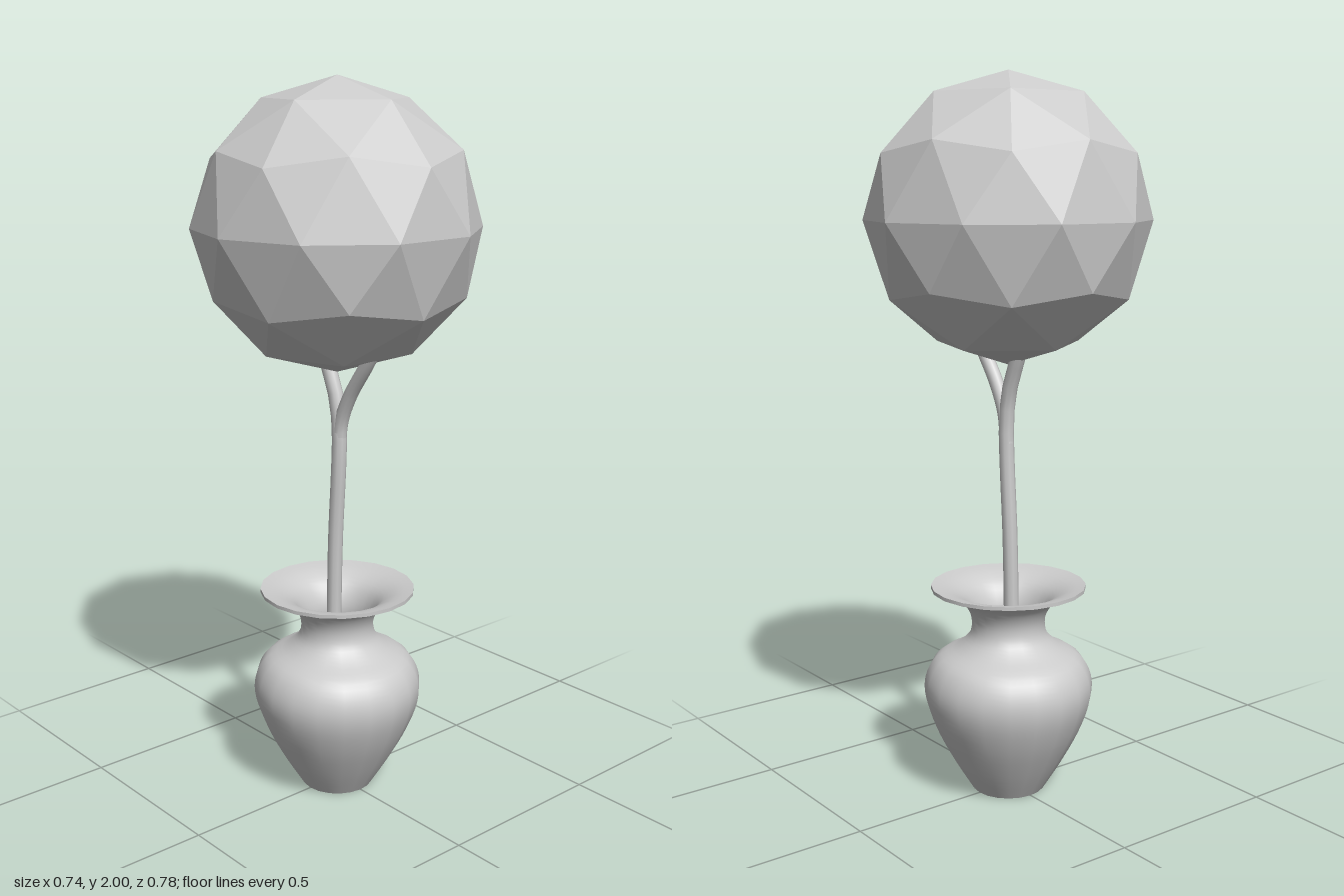
import * as THREE from 'three';

const grey = (extra = {}) => new THREE.MeshStandardMaterial({ color: 0xcccccc, ...extra });

function addMesh(parent, name, geometry, material) {
  const mesh = new THREE.Mesh(geometry, material);
  mesh.name = name;
  parent.add(mesh);
  return mesh;
}

// Round branch swept along points in the x-y plane
function branch(points, radius) {
  const path = new THREE.CatmullRomCurve3(points.map(([x, y]) => new THREE.Vector3(x, y, 0)));
  return new THREE.TubeGeometry(path, 20, radius, 10);
}

// Smooth lathe through profile points [radius, height]
function turned(points, steps) {
  const curve = new THREE.SplineCurve(points.map(([r, y]) => new THREE.Vector2(r, y)));
  return new THREE.LatheGeometry(curve.getPoints(steps), 20);
}

export function createModel() {
  const group = new THREE.Group();

  // Faceted crown, turned so one corner points straight up
  const radius = 0.39;
  const crown = new THREE.IcosahedronGeometry(radius, 1);
  crown.rotateZ(-Math.atan2(1, (1 + Math.sqrt(5)) / 2));
  addMesh(group, 'crown', crown, grey({ flatShading: true })).position.y = 2 - radius;

  // Trunk with a fork under the crown
  const trunk = new THREE.Group();
  trunk.name = 'trunk';
  group.add(trunk);
  addMesh(trunk, 'stem', branch([
    [-0.02, 0.05], [-0.014, 0.5], [-0.007, 0.75], [0.006, 0.95],
    [0.009, 1.05], [-0.002, 1.14], [-0.045, 1.25], [-0.08, 1.34],
  ], 0.021), grey());
  addMesh(trunk, 'sideBranch', branch([
    [0.007, 1.0], [0.016, 1.08], [0.052, 1.16], [0.125, 1.265], [0.17, 1.34],
  ], 0.02), grey());

  // Vase: outer wall, flared lip, inner wall and base
  const vase = new THREE.Group();
  vase.name = 'vase';
  group.add(vase);
  const smooth = grey({ side: THREE.DoubleSide });
  addMesh(vase, 'outerWall', turned([
    [0.103, 0], [0.155, 0.085], [0.205, 0.18], [0.235, 0.265], [0.235, 0.33],
    [0.205, 0.385], [0.145, 0.42], [0.11, 0.455], [0.104, 0.5],
    [0.125, 0.545], [0.165, 0.575], [0.218, 0.588],
  ], 44), smooth);
  addMesh(vase, 'rimEdge', new THREE.CylinderGeometry(0.218, 0.218, 0.01, 20, 1, true), smooth)
    .position.y = 0.593;
  addMesh(vase, 'innerWall', turned([
    [0.218, 0.598], [0.165, 0.585], [0.12, 0.555], [0.095, 0.5], [0.1, 0.45],
    [0.14, 0.41], [0.195, 0.375], [0.225, 0.33], [0.225, 0.265],
    [0.195, 0.18], [0.145, 0.085], [0.095, 0.015], [0, 0.015],
  ], 44), smooth);
  addMesh(vase, 'base', new THREE.CircleGeometry(0.103, 20).rotateX(Math.PI / 2), grey());

  return group;
}
